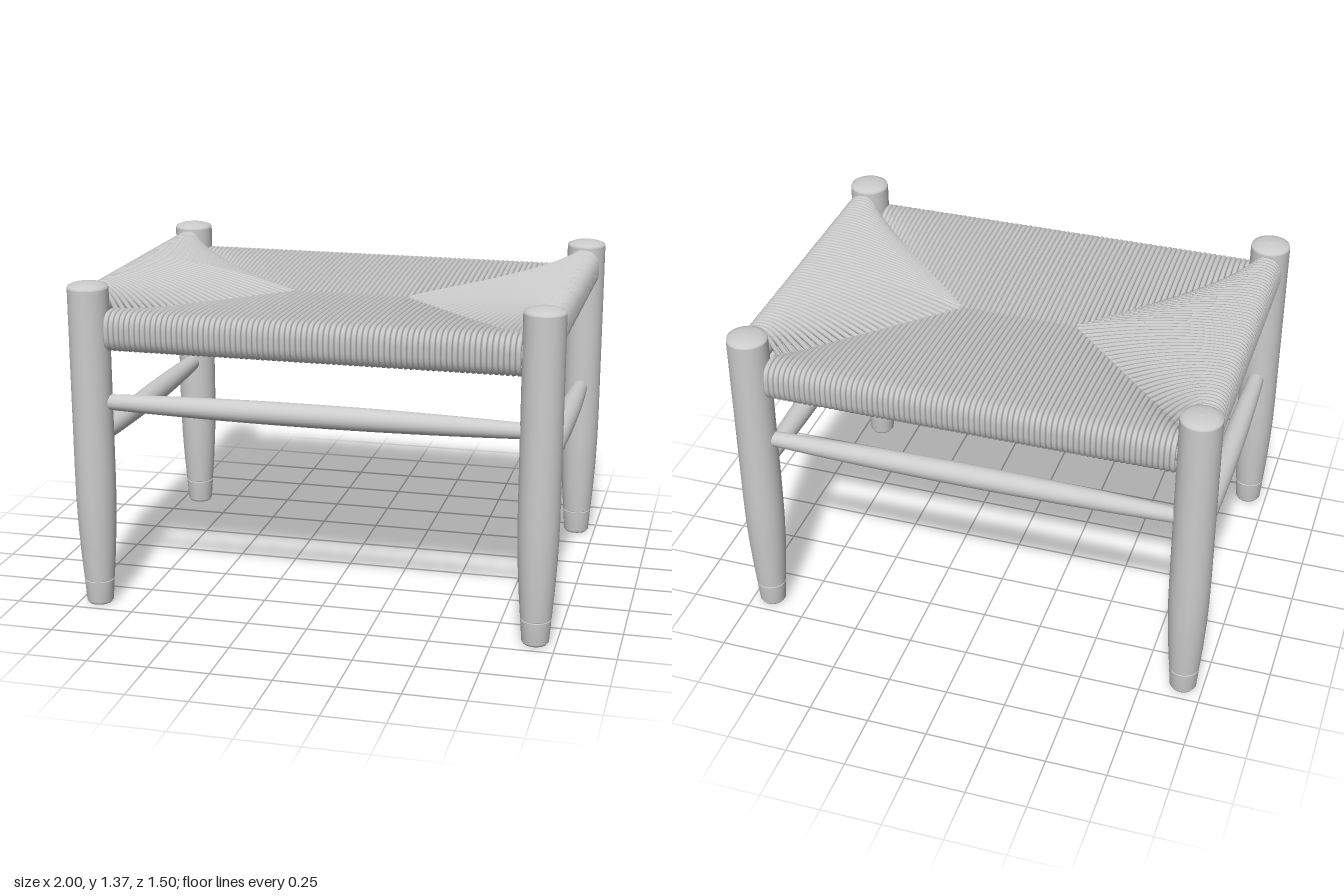
import * as THREE from 'three';
import { mergeGeometries } from 'three/addons/utils/BufferGeometryUtils.js';

const LEG_X = 0.917, LEG_Z = 0.667;
const CORD_R = 0.0115;
const RAIL_HALF = 0.085; // half height and depth of a wrapped rail

// Curve that steps evenly through a list of points
class CordPath extends THREE.Curve {
  constructor(points) { super(); this.points = points; }
  getUtoTmapping(u) { return u; }
  getPoint(t, target = new THREE.Vector3()) {
    const n = this.points.length - 1;
    const i = Math.min(Math.floor(t * n), n - 1);
    return target.lerpVectors(this.points[i], this.points[i + 1], t * n - i);
  }
}

// One cord: from the seam, over the rail, around it and back to the seam below
function cord(x, seam, railZ, railY) {
  const half = RAIL_HALF - CORD_R, steps = 7, arc = 13;
  const seamTop = 1.225 - CORD_R, seamBottom = 1.175 + CORD_R;
  const pts = [];
  const sheet = (t, railEdge, seamEdge) => pts.push(new THREE.Vector3(
    x, railEdge + (seamEdge - railEdge) * Math.pow(t, 1.7), railZ + (seam - railZ) * t));
  for (let i = steps; i > 0; i--) sheet(i / steps, railY + half, seamTop);
  for (let i = 0; i <= arc; i++) {
    const a = Math.PI / 2 - Math.PI * i / arc;
    const c = Math.max(Math.cos(a), 0), s = Math.sin(a);
    pts.push(new THREE.Vector3(x,
      railY + half * Math.sign(s) * Math.pow(Math.abs(s), 0.7),
      railZ + half * Math.pow(c, 0.7)));
  }
  for (let i = 1; i <= steps; i++) sheet(i / steps, railY - half, seamBottom);
  return new THREE.TubeGeometry(new CordPath(pts), pts.length - 1, CORD_R, 7, false);
}

// A woven panel facing +z, made of parallel cords that end on the seam
function panelGeometry(halfWidth, count, railZ, railY, seamAt) {
  const cords = [];
  const pitch = 2 * halfWidth / count;
  for (let i = 0; i < count; i++) {
    const x = -halfWidth + pitch * (i + 0.5);
    cords.push(cord(x, seamAt(Math.abs(x)) - 0.004, railZ, railY));
  }
  return mergeGeometries(cords);
}

const lathe = (pairs, sides) =>
  new THREE.LatheGeometry(pairs.map(([r, y]) => new THREE.Vector2(r, y)), sides);

// Spindle lying along x, thickest in the middle
function spindleGeometry(halfLength, endR, midR) {
  const profile = [];
  for (let i = 0; i <= 16; i++) {
    const t = i / 8 - 1;
    profile.push([midR - (midR - endR) * t * t, t * halfLength]);
  }
  return lathe(profile, 24).rotateZ(-Math.PI / 2);
}

export function createModel() {
  const model = new THREE.Group();
  model.name = 'wovenStool';
  const grey = new THREE.MeshStandardMaterial({ color: 0xcccccc });
  grey.name = 'lightGrey';

  const add = (name, geometry, x, y, z, turn = 0) => {
    const mesh = new THREE.Mesh(geometry, grey);
    mesh.name = name;
    mesh.position.set(x, y, z);
    mesh.rotation.y = turn;
    model.add(mesh);
  };

  // Tapered legs with a recessed base, a fine groove near the foot and a domed top
  const leg = lathe([
    [0, 0.012], [0.032, 0.012], [0.032, 0.012], [0.034, 0], [0.034, 0], [0.048, 0.002], [0.055, 0.012],
    [0.062, 0.104], [0.062, 0.104], [0.059, 0.105], [0.059, 0.108], [0.0625, 0.109], [0.0625, 0.109],
    [0.071, 0.22], [0.078, 0.34], [0.082, 0.46], [0.083, 0.58], [0.083, 1.345], [0.083, 1.345],
    [0.08, 1.355], [0.06, 1.363], [0.03, 1.368], [0, 1.37],
  ], 36);
  for (const sx of [-1, 1]) for (const sz of [-1, 1]) {
    add((sz > 0 ? 'front' : 'back') + (sx > 0 ? 'Left' : 'Right') + 'Leg', leg, sx * LEG_X, 0, sz * LEG_Z);
  }

  // Long and short parts share the same layout, turned by quarter turns
  const frontPanel = panelGeometry(0.838, 76, 0.645, 1.175, x => Math.max(0, x - 0.25));
  const sidePanel = panelGeometry(0.588, 54, 0.901, 1.255, z => z + 0.25);
  const frontRail = spindleGeometry(LEG_X, 0.045, 0.045);
  const sideRail = spindleGeometry(LEG_Z, 0.045, 0.045);
  const frontStretcher = spindleGeometry(LEG_X, 0.029, 0.047);
  const sideStretcher = spindleGeometry(LEG_Z, 0.031, 0.048);

  for (const s of [1, -1]) {
    const end = s > 0 ? 'front' : 'back', side = s > 0 ? 'left' : 'right';
    add(end + 'WovenPanel', frontPanel, 0, 0, 0, s > 0 ? 0 : Math.PI);
    add(side + 'WovenPanel', sidePanel, 0, 0, 0, s * Math.PI / 2);
    add(end + 'SeatRail', frontRail, 0, 1.175, s * 0.645);
    add(side + 'SeatRail', sideRail, s * 0.901, 1.255, 0, Math.PI / 2);
    add(end + 'Stretcher', frontStretcher, 0, 0.875, s * LEG_Z);
    add(side + 'Stretcher', sideStretcher, s * LEG_X, 0.707, 0, Math.PI / 2);
  }
  return model;
}
